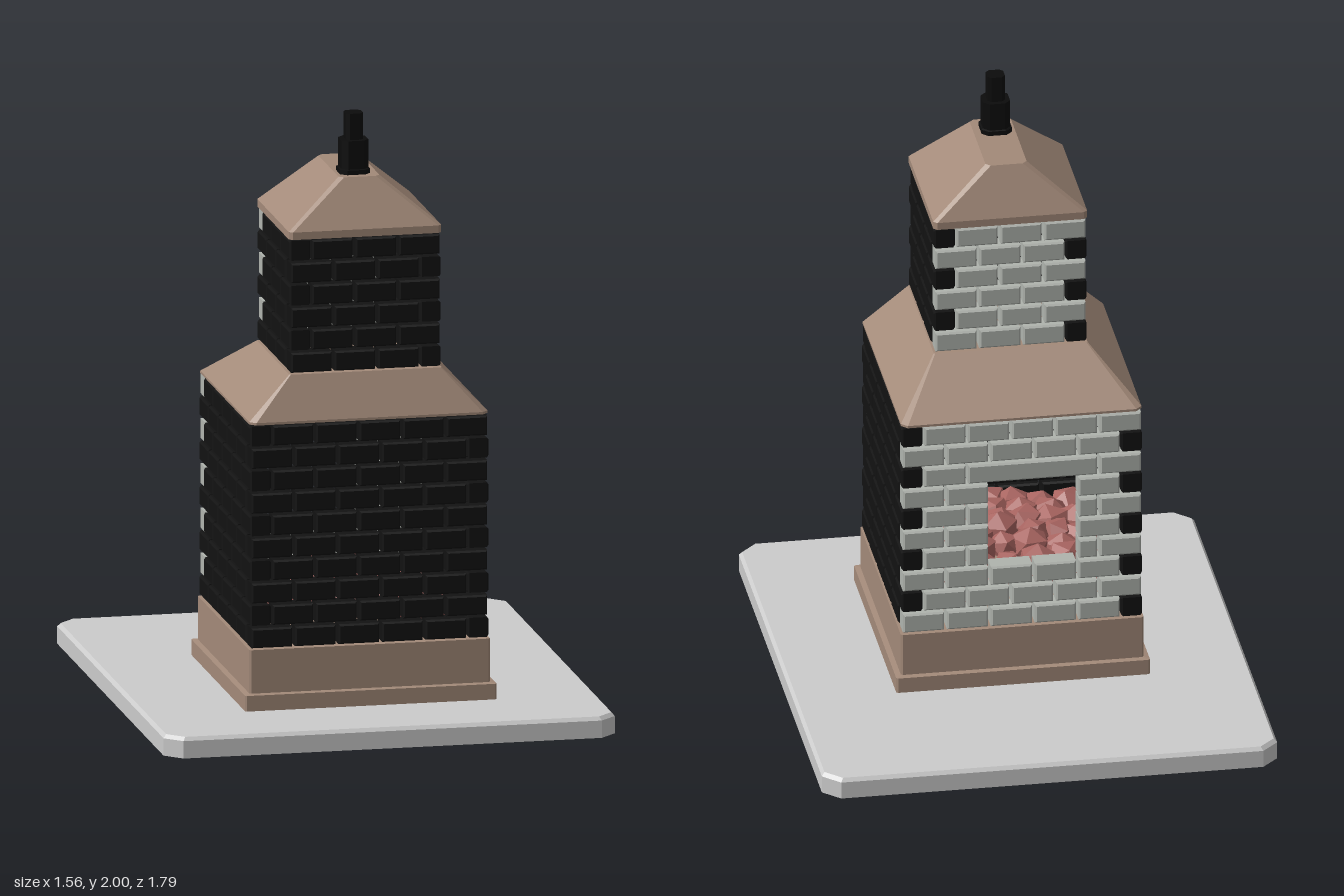
import * as THREE from 'three';
import { mergeGeometries } from 'three/addons/utils/BufferGeometryUtils.js';

const material = (color) => new THREE.MeshStandardMaterial({ color, flatShading: true });
const stone = material(0xcccccc);
const clay = material(0xa38a79);
const darkBrick = material(0x121212);
const paleBrick = material(0xb0b4ae);
const ember = material(0xa86460);
const iron = material(0x0c0c0c);

const PITCH = 0.145, ROW = 0.075, THICK = 0.07, GAP = 0.009;

function addMesh(parent, name, geometry, mat) {
  const mesh = new THREE.Mesh(geometry, mat);
  mesh.name = name;
  parent.add(mesh);
  return mesh;
}

// Solid through stacked rectangles with cut corners: [y, halfX, halfZ, centreZ, cut]
function loft(sections) {
  const rings = sections.map(([y, hx, hz, zc, c]) => [
    [-hx + c, hz], [hx - c, hz], [hx, hz - c], [hx, c - hz],
    [hx - c, -hz], [c - hx, -hz], [-hx, c - hz], [-hx, hz - c],
  ].map(([x, z]) => [x, y, z + zc]));
  const pos = [];
  const tri = (...points) => points.forEach((p) => pos.push(...p));
  for (let s = 0; s < rings.length - 1; s++) {
    const a = rings[s], b = rings[s + 1];
    for (let i = 0; i < 8; i++) {
      const j = (i + 1) % 8;
      tri(a[i], a[j], b[j]);
      tri(a[i], b[j], b[i]);
    }
  }
  const low = rings[0], high = rings[rings.length - 1];
  for (let i = 1; i < 7; i++) {
    tri(low[0], low[i + 1], low[i]);
    tri(high[0], high[i], high[i + 1]);
  }
  const g = new THREE.BufferGeometry();
  g.setAttribute('position', new THREE.Float32BufferAttribute(pos, 3));
  g.computeVertexNormals();
  return g;
}

// Brick with bevelled edges, spanning u0..u1 along a wall
function brick(u0, u1, y, half) {
  const b = 0.006;
  const w = (u1 - u0 - GAP) / 2 - b, h = (ROW - GAP) / 2 - b;
  const shape = new THREE.Shape();
  shape.moveTo(-w, -h);
  shape.lineTo(w, -h);
  shape.lineTo(w, h);
  shape.lineTo(-w, h);
  const g = new THREE.ExtrudeGeometry(shape, {
    depth: THICK - 2 * b, bevelEnabled: true, bevelSize: b, bevelThickness: b, bevelSegments: 1,
  });
  return g.translate((u0 + u1) / 2, y + ROW / 2, half - THICK + b);
}

// Hollow square stack of bricks; courses alternate direction so corners interlock
function brickStack(name, rows, perSide, y0, opening) {
  const half = (perSide * PITCH + THICK) / 2;
  const dark = [], pale = [];
  for (let r = 0; r < rows; r++) {
    const dir = r % 2 ? -1 : 1;
    for (let side = 0; side < 4; side++) {
      const list = side === 2 ? pale : dark;
      const put = (u0, u1) => {
        if (u1 - u0 > 0.02) list.push(brick(u0, u1, y0 + r * ROW, half).rotateY(side * Math.PI / 2));
      };
      const hole = side === 2 ? opening : null;
      for (let i = 0; i < perSide; i++) {
        const a = dir * (-half + i * PITCH), b = a + dir * PITCH;
        const u0 = Math.min(a, b), u1 = Math.max(a, b);
        if (hole && r >= hole.from && r < hole.to) {
          put(u0, Math.min(u1, hole.u0));
          put(Math.max(u0, hole.u1), u1);
        } else if (!(hole && r === hole.to && u0 > hole.lintel0 - 0.01 && u1 < hole.lintel1 + 0.01)) {
          put(u0, u1);
        }
      }
      if (hole && r === hole.to) put(hole.lintel0, hole.lintel1);
    }
  }
  const group = new THREE.Group();
  group.name = name;
  addMesh(group, 'darkBricks', mergeGeometries(dark), darkBrick);
  addMesh(group, 'paleBackBricks', mergeGeometries(pale), paleBrick);
  return group;
}

// Bed of rough lumps inside the firebox
function coalBed() {
  let seed = 7;
  const rand = () => (seed = (seed * 16807) % 2147483647) / 2147483647;
  const lumps = [];
  for (let i = 0; i < 7; i++) {
    for (let j = 0; j < 7; j++) {
      const g = new THREE.IcosahedronGeometry(0.055 + rand() * 0.02, 0);
      g.rotateX(rand() * 6).rotateY(rand() * 6).scale(1, 0.85, 1);
      const x = (i - 3) * 0.088 + (rand() - 0.5) * 0.03;
      const z = (j - 3) * 0.088 + (rand() - 0.5) * 0.03;
      const heap = 0.07 * Math.max(0, 1 - Math.hypot(x, z) / 0.35);
      lumps.push(g.translate(x, 0.35 + heap + rand() * 0.02, z));
    }
  }
  return mergeGeometries(lumps);
}

export function createModel() {
  const model = new THREE.Group();
  model.name = 'outdoorFireplace';
  const turned = new THREE.Group();
  turned.name = 'fireplaceOnSlab';
  turned.rotation.y = -0.032;
  model.add(turned);

  addMesh(turned, 'groundSlab', loft([
    [0, 0.752, 0.873, 0, 0.055], [0.058, 0.752, 0.873, 0, 0.055], [0.07, 0.742, 0.863, 0, 0.052],
  ]), stone);

  const body = new THREE.Group();
  body.name = 'fireplace';
  body.position.set(-0.003, 0, 0.135);
  turned.add(body);

  // Stepped plinth
  addMesh(body, 'plinth', loft([
    [0.065, 0.419, 0.419, 0, 0.006], [0.122, 0.419, 0.419, 0, 0.006],
    [0.125, 0.401, 0.401, 0, 0.006], [0.27, 0.401, 0.401, 0, 0.006],
  ]), clay);

  // Firebox with an opening at the back
  body.add(brickStack('firebox', 10, 5, 0.27, {
    from: 3, to: 7, u0: -0.1075, u1: 0.1825, lintel0: -0.1825, lintel1: 0.2525,
  }));
  addMesh(body, 'coals', coalBed(), ember);

  // Lower hood, set back towards the front wall
  addMesh(body, 'lowerHood', loft([
    [1.02, 0.397, 0.397, 0, 0.02], [1.028, 0.397, 0.397, 0, 0.02], [1.17, 0.254, 0.254, 0.0825, 0.004],
  ]), clay);

  // Chimney breast
  const breast = brickStack('chimneyBreast', 6, 3, 1.17, null);
  breast.position.z = 0.0825;
  body.add(breast);

  addMesh(body, 'upperHood', loft([
    [1.62, 0.254, 0.254, 0.0825, 0.012], [1.645, 0.254, 0.254, 0.0825, 0.012],
    [1.8, 0.068, 0.17, 0.077, 0.015],
  ]), clay);

  // Flue pipe in two diameters
  const flue = new THREE.Group();
  flue.name = 'flue';
  flue.position.set(-0.006, 0, 0.17);
  body.add(flue);
  addMesh(flue, 'flueBase', loft([
    [1.78, 0.05, 0.05, 0, 0.02], [1.815, 0.05, 0.05, 0, 0.02],
    [1.817, 0.045, 0.045, 0, 0.02], [1.912, 0.045, 0.045, 0, 0.02],
  ]), iron);
  addMesh(flue, 'flueTop', loft([[1.9, 0.029, 0.029, 0, 0.012], [2, 0.029, 0.029, 0, 0.012]]), iron);

  return model;
}
